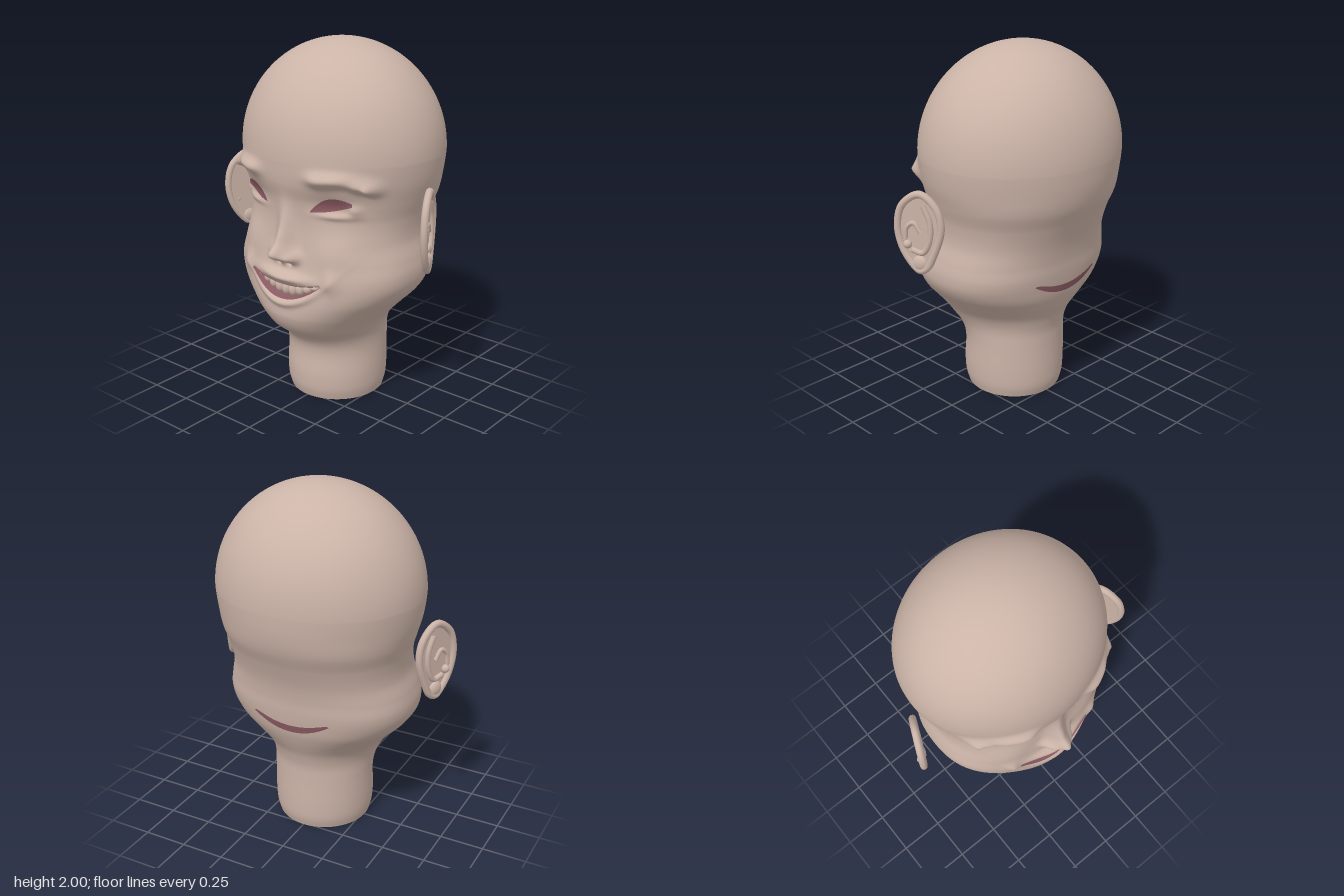
import * as THREE from 'three';

const skin = new THREE.MeshStandardMaterial({ color: 0xcbb3a7, side: THREE.DoubleSide });
skin.name = 'skin';
const plum = new THREE.MeshStandardMaterial({ color: 0x8a5a62, side: THREE.DoubleSide });
plum.name = 'plum red';

// Head cross-sections below the dome: y, half width, front z, back z, squareness
const sections = [
  [0, 0.265, 0.275, -0.26, 2], [0.05, 0.278, 0.29, -0.275, 2], [0.12, 0.284, 0.295, -0.28, 2],
  [0.33, 0.285, 0.296, -0.28, 2], [0.4, 0.295, 0.35, -0.283, 2], [0.45, 0.315, 0.42, -0.295, 2],
  [0.5, 0.345, 0.46, -0.312, 2], [0.55, 0.387, 0.48, -0.338, 2.05], [0.6, 0.432, 0.482, -0.362, 2.15],
  [0.66, 0.488, 0.475, -0.385, 2.25], [0.73, 0.53, 0.465, -0.4, 2.3], [0.8, 0.54, 0.455, -0.41, 2.35],
  [0.88, 0.527, 0.44, -0.418, 2.3], [0.98, 0.502, 0.425, -0.44, 2.25], [1.1, 0.51, 0.42, -0.485, 2.15],
  [1.2, 0.54, 0.435, -0.53, 2.1], [1.3, 0.568, 0.465, -0.555, 2], [1.42, 0.583, 0.475, -0.565, 2],
];
const interp = new THREE.CubicInterpolant(sections.map(s => s[0]), sections.flatMap(s => s.slice(1)), 4);
interp.settings = { endingStart: THREE.ZeroCurvatureEnding, endingEnd: THREE.ZeroSlopeEnding };

function section(y) {
  if (y < 1.42) {
    const [a, f, b, n] = interp.evaluate(y);
    return { a, n, mid: (f + b) / 2, depth: (f - b) / 2 };
  }
  const s = Math.sqrt(Math.max(0, 1 - ((y - 1.42) / 0.58) ** 2));
  return { a: 0.583 * s, n: 2, mid: -0.045, depth: 0.52 * s };
}

// Facial forms, mirrored in x: x, y, width, height, rise
const forms = [
  [0, 1.05, 0.05, 0.12, 0.05], [0, 0.98, 0.05, 0.06, 0.04], [0, 0.92, 0.055, 0.045, 0.1],   // nose
  [0.065, 0.9, 0.035, 0.03, 0.05], [0.035, 0.865, 0.016, 0.012, -0.03],                      // nostrils
  [0.23, 1.345, 0.07, 0.04, 0.04], [0.33, 1.35, 0.07, 0.035, 0.04],                          // brows
  [0.42, 1.32, 0.05, 0.035, 0.045], [0.455, 1.3, 0.025, 0.03, 0.05],
  [0.26, 1.2, 0.12, 0.06, -0.02], [0.28, 1.145, 0.09, 0.018, 0.018], [0.37, 1.18, 0.03, 0.03, 0.02], // lids
  [0.3, 0.95, 0.12, 0.1, 0.025], [0.29, 0.8, 0.04, 0.06, 0.02],                              // cheeks
  [0, 0.785, 0.15, 0.028, 0.045],                                                            // upper lip
];
const gauss = (d, s) => Math.exp(-((d / s) ** 2));

// Smile outline
const mouthLow = x => 0.665 + 0.105 * (x / 0.24) ** 2;
const mouthHigh = x => 0.745 + 0.03 * (x / 0.24) ** 2;

function relief(x, y, recess = 1) {
  const ax = Math.abs(x);
  let dz = 0;
  for (const [fx, fy, sx, sy, h] of forms) dz += h * gauss(ax - fx, sx) * gauss(y - fy, sy);
  dz += 0.022 * gauss(y - mouthLow(x) + 0.025, 0.022) * gauss(x, 0.22);
  const inside = Math.min(mouthHigh(x) - y, y - mouthLow(x));
  if (ax < 0.25) dz -= recess * 0.055 * THREE.MathUtils.clamp(inside / 0.014, 0, 1);
  return dz;
}

function surfaceZ(x, y, dir = 1, recess = 1) {
  const { a, n, mid, depth } = section(y);
  const c = a > 0 ? Math.max(0, 1 - (Math.abs(x) / a) ** n) ** (1 / n) : 0;
  return mid + dir * depth * c + (dir > 0 ? relief(x, y, recess) * Math.min(1, c * 3) : 0);
}

function gridMesh(name, material, positions, index) {
  const g = new THREE.BufferGeometry();
  g.setAttribute('position', new THREE.Float32BufferAttribute(positions, 3));
  g.setIndex(index);
  g.computeVertexNormals();
  const m = new THREE.Mesh(g, material);
  m.name = name;
  return m;
}

// Skull, face and open neck as one smooth skin
function head() {
  const levels = [];
  for (let i = 0; i < 30; i++) levels.push(0.55 * i / 30);
  for (let i = 0; i < 120; i++) levels.push(0.55 + 0.87 * i / 120);
  for (let i = 0; i <= 32; i++) levels.push(1.42 + 0.58 * Math.sin(Math.PI / 2 * Math.min(i / 32, 0.9995)));
  const N = 240, pos = [], idx = [];
  levels.forEach((y, j) => {
    const { a, n } = section(y);
    for (let i = 0; i < N; i++) {
      const s = i / N * 2 - 1;
      const phi = Math.PI * Math.sign(s) * Math.abs(s) ** 1.35;
      const sn = Math.sin(phi);
      const x = a * Math.sign(sn) * Math.abs(sn) ** (2 / n);
      pos.push(x, y, surfaceZ(x, y, Math.cos(phi) >= 0 ? 1 : -1));
      if (j === levels.length - 1) continue;
      const p = j * N + i, q = j * N + (i + 1) % N;
      idx.push(p, q, p + N, q, q + N, p + N);
    }
  });
  return gridMesh('head', skin, pos, idx);
}

// Thin coloured area lying on the head, bounded by two curves
function patch(name, x0, x1, low, high, dir = 1) {
  const U = 36, V = 14, pos = [], idx = [];
  for (let v = 0; v <= V; v++) for (let u = 0; u <= U; u++) {
    const x = x0 + (x1 - x0) * u / U;
    const y = low(x) + (high(x) - low(x)) * v / V;
    pos.push(x, y, surfaceZ(x, y, dir) + 0.006 * dir);
    if (u === U || v === V) continue;
    const p = v * (U + 1) + u, r = p + U + 1;
    if (dir > 0) idx.push(p, p + 1, r, p + 1, r + 1, r);
    else idx.push(p, r, p + 1, p + 1, r, r + 1);
  }
  return gridMesh(name, plum, pos, idx);
}

// Ear: flat back plate, helix rim, inner folds and lobe
function ear(side) {
  const g = new THREE.Group();
  g.name = side > 0 ? 'leftEar' : 'rightEar';
  const out = -side;
  const add = (name, geo, x = 0, y = 0, z = 0) => {
    const m = new THREE.Mesh(geo, skin);
    m.name = name;
    m.position.set(x, y, z);
    g.add(m);
    return m;
  };
  const outline = [[-0.01, 0.21], [-0.1, 0.14], [-0.125, 0.03], [-0.075, -0.13], [-0.04, -0.195],
    [0, -0.215], [0.04, -0.185], [0.1, -0.09], [0.122, 0.03], [0.09, 0.145]];
  const curve = pts => new THREE.CatmullRomCurve3(pts.map(p => new THREE.Vector3(p[0], p[1], 0)));
  const rim = curve(outline);
  rim.closed = true;
  const shape = new THREE.Shape(rim.getPoints(60).map(p => new THREE.Vector2(p.x, p.y)));
  add('earPlate', new THREE.ExtrudeGeometry(shape, { depth: 0.014, bevelEnabled: false }), 0, 0, -0.007);
  add('earRim', new THREE.TubeGeometry(rim, 90, 0.02, 10, true), 0, 0, out * 0.008);
  const fold = curve([[-0.03, 0.15], [-0.065, 0.06], [-0.06, -0.04], [-0.02, -0.11], [0.04, -0.1]]);
  add('earInnerFold', new THREE.TubeGeometry(fold, 40, 0.016, 8), 0, 0, out * 0.012);
  const concha = curve([[-0.01, 0.0], [0.03, 0.05], [0.07, 0.02], [0.08, -0.05]]);
  add('earConcha', new THREE.TubeGeometry(concha, 30, 0.013, 8), 0, 0, out * 0.01);
  add('earTragus', new THREE.SphereGeometry(0.024, 14, 10), 0.065, -0.07, out * 0.014);
  add('earLobe', new THREE.SphereGeometry(0.045, 18, 12), 0, -0.175, out * 0.006).scale.z = 0.55;
  g.position.set(side * 0.638, 1.07, 0.06);
  g.rotation.y = side > 0 ? -1.14 : 1.14 - Math.PI;
  return g;
}

export function createModel() {
  const model = new THREE.Group();
  model.name = 'smilingHead';
  model.add(head());

  // Almond eyes
  const t = x => (Math.abs(x) - 0.15) / 0.22;
  const eyeLow = x => 1.16 + 0.05 * t(x) - 0.04 * t(x) * (1 - t(x));
  const eyeHigh = x => 1.165 + 0.05 * t(x) + 0.22 * t(x) * (1 - t(x));
  model.add(patch('leftEye', 0.15, 0.36, eyeLow, eyeHigh), patch('rightEye', -0.36, -0.15, eyeLow, eyeHigh));

  // Mouth lining, and the curved mark where it meets the back of the head
  model.add(patch('mouth', -0.24, 0.24, mouthLow, mouthHigh));
  const backLow = x => 0.685 + 0.075 * (x / 0.23) ** 2;
  model.add(patch('backMark', -0.23, 0.23, backLow, x => backLow(x) + 0.042 * Math.sqrt(Math.max(0, 1 - (x / 0.23) ** 2)), -1));

  // Row of teeth following the upper lip
  const toothGeo = new THREE.SphereGeometry(1, 16, 12);
  for (let i = -4; i <= 4; i++) {
    const x = i * 0.046;
    const half = (mouthHigh(x) - mouthLow(x)) / 2;
    const y = mouthLow(x) + half + 0.006;
    const tooth = new THREE.Mesh(toothGeo, skin);
    tooth.name = 'tooth';
    tooth.scale.set(0.026, Math.max(0.016, half * 0.95), 0.026);
    tooth.position.set(x, y, surfaceZ(x, y, 1, 0) - 0.032);
    model.add(tooth);
  }

  model.add(ear(1), ear(-1));
  return model;
}
